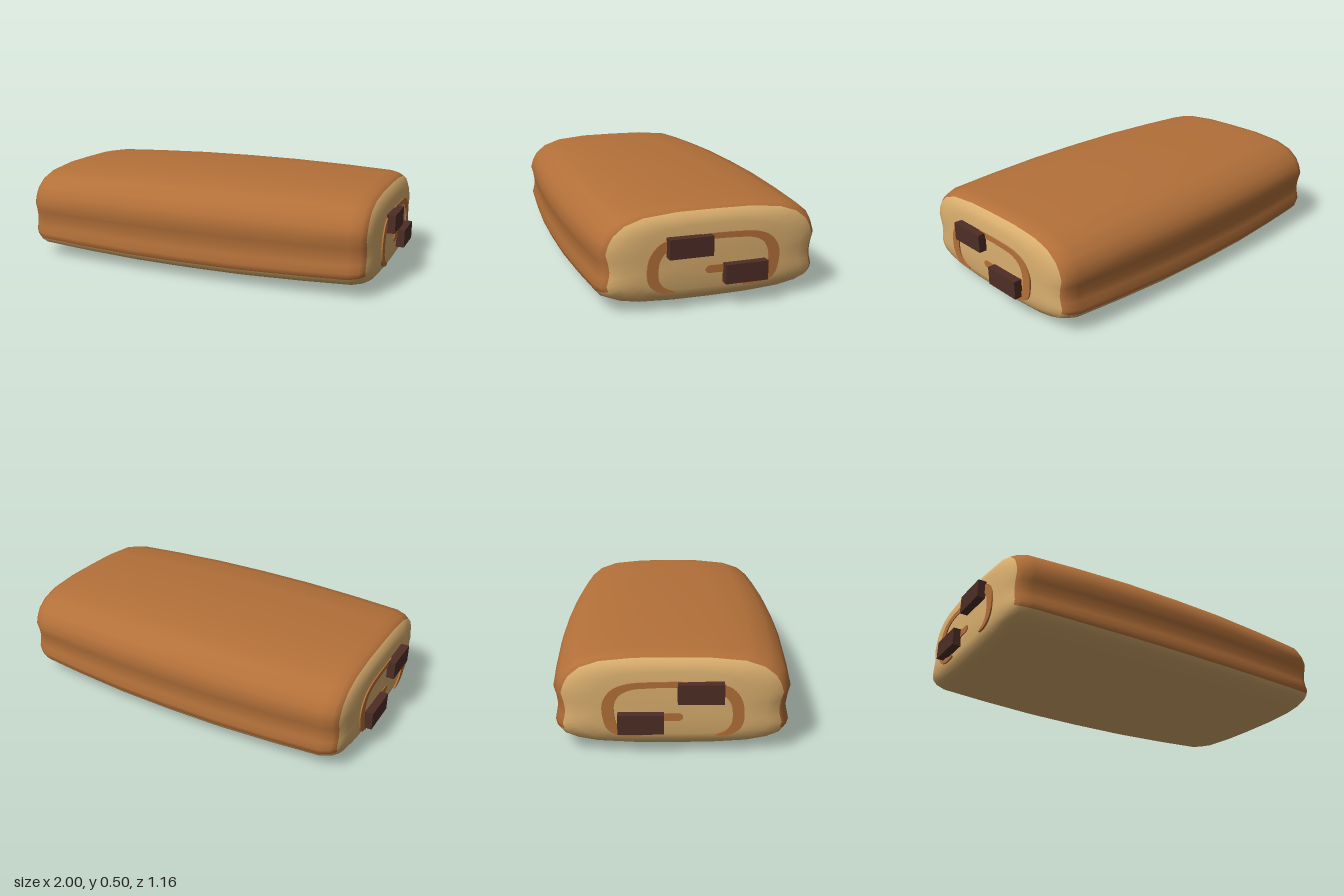
import * as THREE from 'three';

const mat = (name, color) => {
  const m = new THREE.MeshStandardMaterial({ color });
  m.name = name;
  return m;
};

// Half cross-section as [z, y], from bottom centre to top centre
const HALF = [
  [0, 0.003], [0.2, 0.005], [0.38, 0.016], [0.48, 0.035], [0.545, 0.062], [0.568, 0.09],
  [0.576, 0.12], [0.565, 0.16], [0.56, 0.2], [0.567, 0.25], [0.58, 0.3], [0.565, 0.35],
  [0.54, 0.395], [0.48, 0.445], [0.38, 0.48], [0.2, 0.498], [0, 0.5],
];
const BASE_POINT = 5; // the pale underside ends at this profile point

// Stations along half the loaf: [x, width scale, height scale]
const STATIONS = [
  [0, 1, 1], [0.3, 0.993, 0.992], [0.6, 0.965, 0.96], [0.85, 0.932, 0.92], [0.9, 0.895, 0.88],
  [0.925, 0.86, 0.83], [0.945, 0.75, 0.73], [0.956, 0.6, 0.6], [0.96, 0.3, 0.3], [0.96, 0, 0],
];
const END_STATION = 5; // the pale cut end starts here

// Loaf body: lofted rings, with crust and crumb as material groups
function loafGeometry() {
  const ring = [...HALF, ...HALF.slice(1, -1).reverse().map(([z, y]) => [-z, y])];
  const mirrored = STATIONS.slice(1).reverse().map(([x, w, h]) => [-x, w, h]);
  const stations = [...mirrored, ...STATIONS];
  const n = ring.length, mid = STATIONS.length - 1;
  const pos = [], crust = [], crumb = [];
  for (const [x, w, h] of stations)
    for (const [z, y] of ring) pos.push(x, 0.25 + (y - 0.25) * h, z * w);

  for (let i = 0; i < stations.length - 1; i++) {
    const isEnd = i >= mid + END_STATION || i < mid - END_STATION;
    for (let j = 0; j < n; j++) {
      const k = (j + 1) % n;
      const isBase = j < BASE_POINT || j >= n - BASE_POINT;
      const a = i * n + j, b = a + n, c = (i + 1) * n + k, d = i * n + k;
      (isEnd || isBase ? crumb : crust).push(a, b, c, a, c, d);
    }
  }
  const g = new THREE.BufferGeometry();
  g.setAttribute('position', new THREE.Float32BufferAttribute(pos, 3));
  g.setIndex([...crust, ...crumb]);
  g.addGroup(0, crust.length, 0);
  g.addGroup(crust.length, crumb.length, 1);
  g.computeVertexNormals();
  return g;
}

// Thin plate following a curve in the end plane; points are [z, y, half width]
const PLATE = 0.009;
function ribbonGeometry(points) {
  const curve = new THREE.CatmullRomCurve3(points.map(p => new THREE.Vector3(...p)), false, 'centripetal');
  const left = [], right = [], steps = points.length * 6;
  for (let i = 0; i <= steps; i++) {
    const p = curve.getPoint(i / steps), t = curve.getTangent(i / steps);
    const n = new THREE.Vector2(-t.y, t.x).normalize().multiplyScalar(p.z);
    left.push(new THREE.Vector2(p.x + n.x, p.y + n.y));
    right.push(new THREE.Vector2(p.x - n.x, p.y - n.y));
  }
  const shape = new THREE.Shape([...left, ...right.reverse()]);
  return new THREE.ExtrudeGeometry(shape, { depth: PLATE, bevelEnabled: false }).rotateY(-Math.PI / 2);
}

export function createModel() {
  const crust = mat('golden crust', 0xb37039);
  const crumb = mat('pale crumb', 0xd9ae6e);
  const chocolate = mat('dark chocolate', 0x4e2e26);
  const group = new THREE.Group();
  group.name = 'chocolatePastry';

  const add = (name, geometry, material, x = 0, y = 0, z = 0) => {
    const mesh = new THREE.Mesh(geometry, material);
    mesh.name = name;
    mesh.position.set(x, y, z);
    group.add(mesh);
  };

  add('loaf', loafGeometry(), [crust, crumb]);

  // Rolled dough layers seen on the cut ends
  const outerRoll = ribbonGeometry([
    [0.195, 0.098, 0.003], [0.25, 0.112, 0.014], [0.288, 0.148, 0.024], [0.296, 0.2, 0.026],
    [0.285, 0.26, 0.026], [0.25, 0.305, 0.024], [0.2, 0.327, 0.018], [0.1, 0.34, 0.014],
    [-0.1, 0.34, 0.014], [-0.2, 0.33, 0.016], [-0.258, 0.3, 0.022], [-0.286, 0.25, 0.027],
    [-0.285, 0.19, 0.027], [-0.27, 0.14, 0.024], [-0.22, 0.11, 0.015], [-0.135, 0.1, 0.006],
  ]);
  const innerRoll = ribbonGeometry([
    [0.048, 0.187, 0.006], [0.035, 0.187, 0.017], [0, 0.187, 0.018], [-0.06, 0.185, 0.018], [-0.1, 0.18, 0.015],
  ]);
  const bar = new THREE.BoxGeometry(0.1, 0.092, 0.207);

  for (const side of [1, -1]) {
    const label = side > 0 ? 'left' : 'right';
    const x = side > 0 ? 0.964 : -0.964 + PLATE;
    add(label + 'OuterRoll', outerRoll, crust, x);
    add(label + 'InnerRoll', innerRoll, crust, x);
    // Chocolate sticks
    add(label + 'UpperStick', bar, chocolate, side * 0.95, 0.309, 0.127);
    add(label + 'LowerStick', bar, chocolate, side * 0.95, 0.165, -0.141);
  }
  return group;
}
